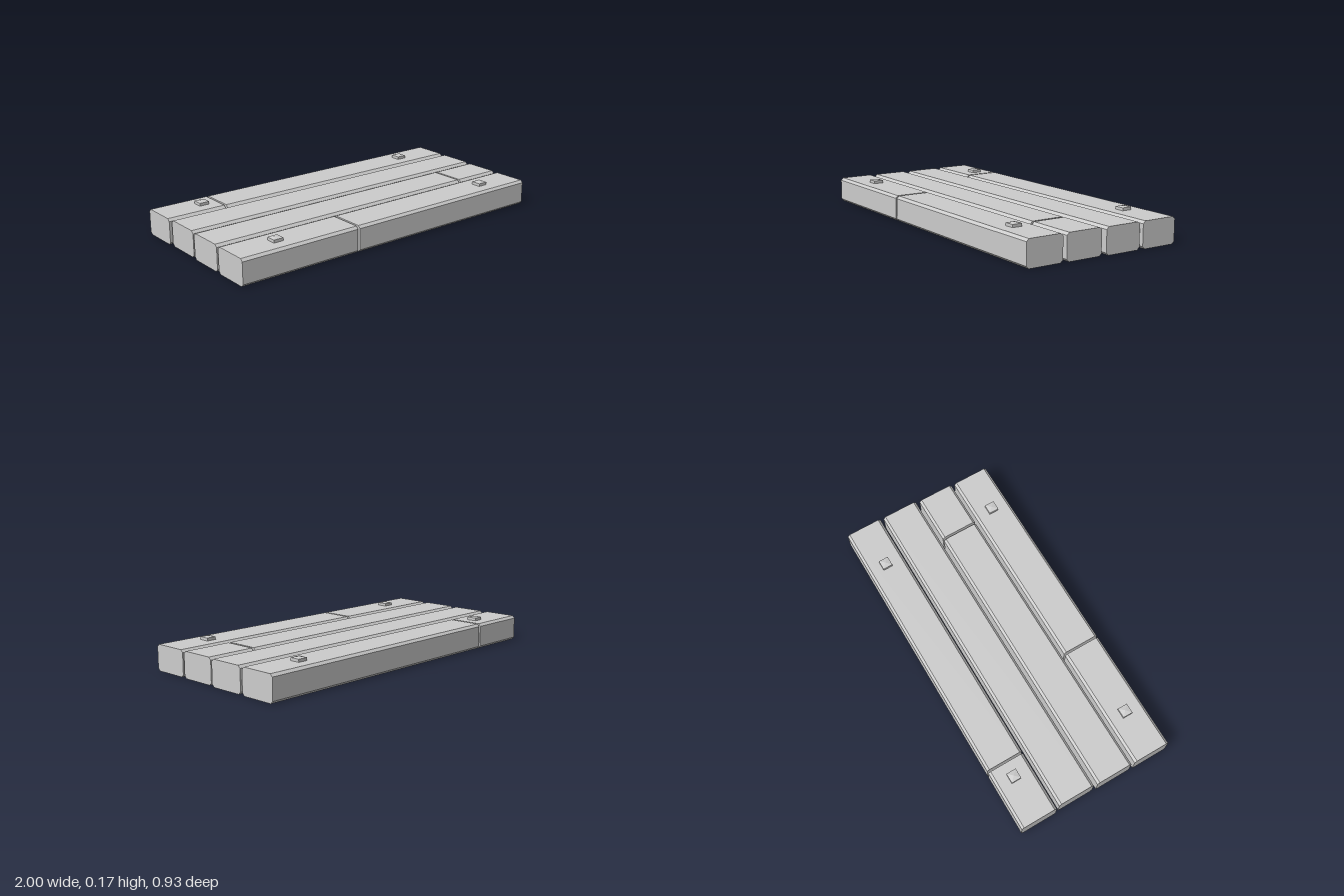
import * as THREE from 'three';

const HEIGHT = 0.147, HALF_WIDTH = 0.109, BEVEL = 0.014, BOLT = 0.058;

// Rows of planks: centre z and the x range of each plank in the row
const ROWS = [
  { z: 0.357, spans: [[-1, -0.285], [-0.273, 0.98]] },
  { z: 0.12, spans: [[-0.997, 0.687], [0.7, 0.985]] },
  { z: -0.119, spans: [[-0.991, 0.996]] },
  { z: -0.356, spans: [[-0.997, -0.645], [-0.633, 1]] },
];

// Beam cross-section with four chamfered long edges
function plankShape() {
  const w = HALF_WIDTH, h = HEIGHT, b = BEVEL;
  return new THREE.Shape([
    [-w + b, 0], [w - b, 0], [w, b], [w, h - b],
    [w - b, h], [-w + b, h], [-w, h - b], [-w, b],
  ].map(([x, y]) => new THREE.Vector2(x, y)));
}

export function createModel() {
  const group = new THREE.Group();
  group.name = 'plankPlatform';
  const grey = new THREE.MeshStandardMaterial({ color: 0xcccccc });
  grey.name = 'grey';

  // Planks, extruded along x
  const shape = plankShape();
  for (const { z, spans } of ROWS) {
    for (const [x0, x1] of spans) {
      const geometry = new THREE.ExtrudeGeometry(shape, { depth: x1 - x0, bevelEnabled: false });
      geometry.rotateY(Math.PI / 2);
      const plank = new THREE.Mesh(geometry, grey);
      plank.name = 'plank';
      plank.position.set(x0, 0, z);
      group.add(plank);
    }
  }

  // Square bolt heads with a shallow pyramid cap, on the outer rows
  const side = new THREE.CylinderGeometry(BOLT / Math.SQRT2, BOLT / Math.SQRT2, 0.016, 4, 1, true)
    .rotateY(Math.PI / 4).translate(0, 0.008, 0).toNonIndexed();
  const cap = new THREE.ConeGeometry(BOLT / Math.SQRT2, 0.006, 4, 1, true)
    .rotateY(Math.PI / 4).translate(0, 0.019, 0).toNonIndexed();
  side.computeVertexNormals();
  cap.computeVertexNormals();
  for (const z of [0.357, -0.357]) {
    for (const x of [-0.731, 0.724]) {
      const bolt = new THREE.Group();
      bolt.name = 'bolt';
      const boltSide = new THREE.Mesh(side, grey);
      boltSide.name = 'boltSide';
      const boltCap = new THREE.Mesh(cap, grey);
      boltCap.name = 'boltCap';
      bolt.add(boltSide, boltCap);
      bolt.position.set(x, HEIGHT, z);
      group.add(bolt);
    }
  }
  return group;
}
